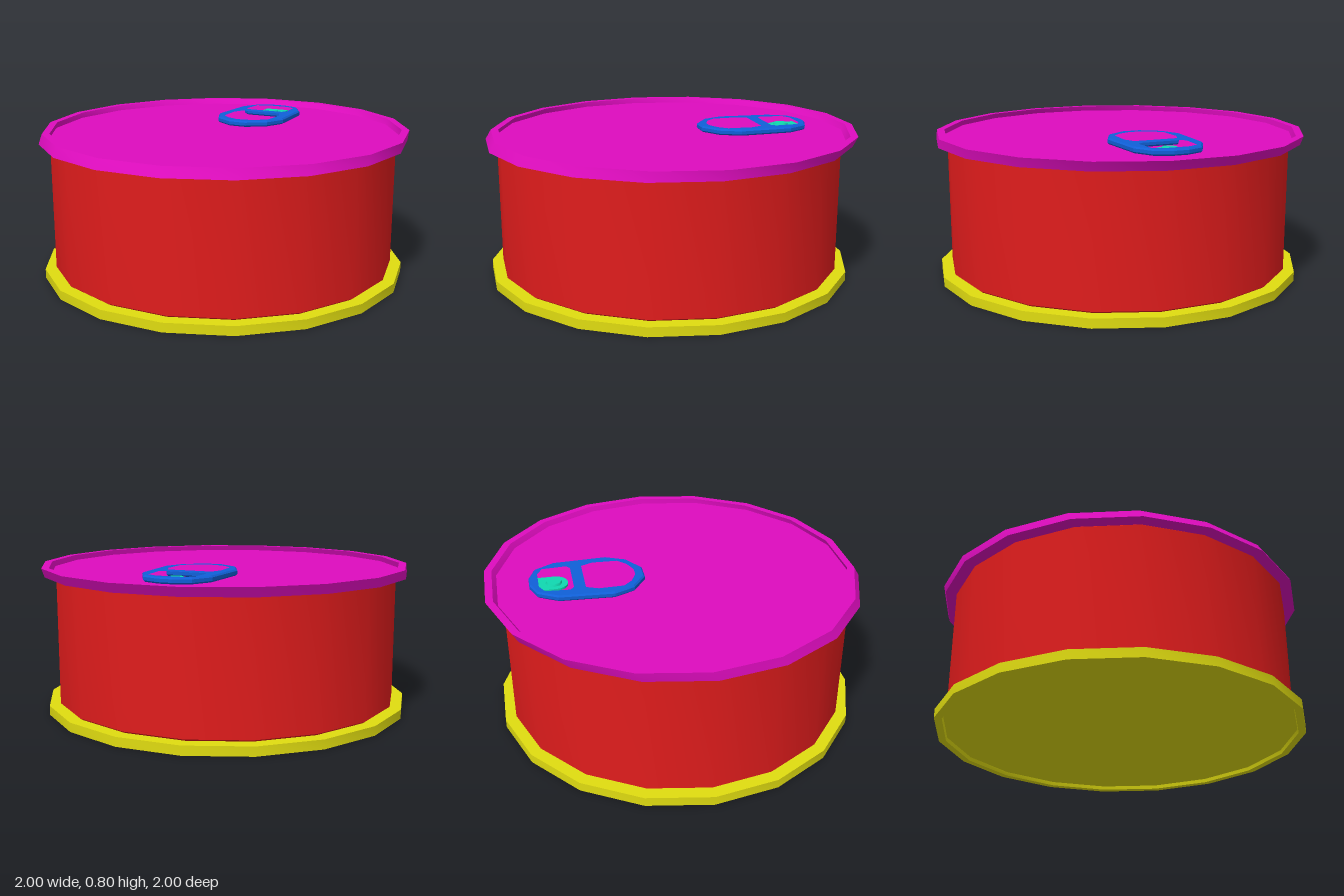
import * as THREE from 'three';
import { toCreasedNormals } from 'three/addons/utils/BufferGeometryUtils.js';

const SIDES = 18;

function part(name, geometry, color) {
  const mesh = new THREE.Mesh(geometry, new THREE.MeshStandardMaterial({ color }));
  mesh.name = name;
  return mesh;
}

// Turned part: 18 sides with a corner on the x axis; profile runs bottom to top.
function turned(profile) {
  const points = profile.map(([r, y]) => new THREE.Vector2(r, y));
  return new THREE.LatheGeometry(points, SIDES, Math.PI / 2);
}

// Closed outline, symmetric about x = 0, from its right half (x, z).
function mirrored(half, PathType) {
  const right = half.map(([x, z]) => new THREE.Vector2(x, -z));
  const left = half.map(([x, z]) => new THREE.Vector2(-x, -z)).reverse();
  return new PathType([...right, ...left]);
}

// Extrude a plan-view shape upwards between two heights.
function slab(shape, y0, y1, bevel) {
  const geometry = new THREE.ExtrudeGeometry(shape, {
    depth: y1 - y0 - 2 * bevel, bevelEnabled: bevel > 0, bevelSize: bevel,
    bevelThickness: bevel, bevelOffset: -bevel, bevelSegments: 1, curveSegments: 8,
  });
  geometry.rotateX(-Math.PI / 2);
  geometry.translate(0, y0 + bevel, 0);
  return geometry;
}

export function createModel() {
  const model = new THREE.Group();
  model.name = 'tinCan';
  const backShift = 0.015;

  // Can wall, with small chamfers where it meets the rims
  const wall = turned([[0.92, 0.045], [0.94, 0.06], [0.94, 0.74], [0.92, 0.755]]);
  wall.translate(0, 0, backShift);
  model.add(part('canWall', toCreasedNormals(wall, 0.6), 0xe01c1c));

  // Bottom rim with a recessed underside
  const base = turned([[0, 0.02], [0.955, 0.02], [0.96, 0], [1, 0], [1, 0.05], [0.91, 0.05]]);
  base.translate(0, 0, backShift);
  model.add(part('bottomRim', toCreasedNormals(base, 0.6), 0xe0dc10));

  // Lid with a raised rim; its top leans slightly to the back
  const lid = turned([[0.91, 0.747], [1, 0.747], [1, 0.797], [0.96, 0.797], [0.955, 0.768], [0, 0.768]]);
  const pos = lid.attributes.position;
  for (let i = 0; i < pos.count; i++) {
    const t = (pos.getY(i) - 0.747) / 0.05;
    pos.setZ(i, pos.getZ(i) + backShift * (1 - 2 * t));
  }
  model.add(part('lid', toCreasedNormals(lid, 0.6), 0xde0cbe));

  // Pull tab: outline with a rivet opening and a finger opening
  const tab = mirrored([[0.04, -0.77], [0.13, -0.735], [0.19, -0.63], [0.205, -0.34],
    [0.155, -0.23], [0.05, -0.16]], THREE.Shape);
  tab.holes.push(mirrored([[0.07, -0.73], [0.13, -0.7], [0.14, -0.56], [0.11, -0.535]], THREE.Path));
  tab.holes.push(mirrored([[0.125, -0.49], [0.155, -0.42], [0.15, -0.28], [0.1, -0.23],
    [0.03, -0.2]], THREE.Path));
  model.add(part('pullTab', slab(tab, 0.77, 0.803, 0.008), 0x1060d8));

  // Tongue holding the tab, rounded towards the front
  const tongue = new THREE.Shape();
  tongue.moveTo(0.07, 0.74);
  tongue.lineTo(-0.07, 0.74);
  tongue.lineTo(-0.07, 0.635);
  tongue.absarc(0, 0.635, 0.07, Math.PI, Math.PI * 2, false);
  tongue.closePath();
  model.add(part('tabTongue', slab(tongue, 0.768, 0.78, 0), 0x10d8b0));

  // Rivet
  const rivet = new THREE.CylinderGeometry(0.04, 0.045, 0.012, 8);
  rivet.translate(0, 0.786, -0.64);
  model.add(part('rivet', toCreasedNormals(rivet, 0.9), 0x10d8b0));

  return model;
}
